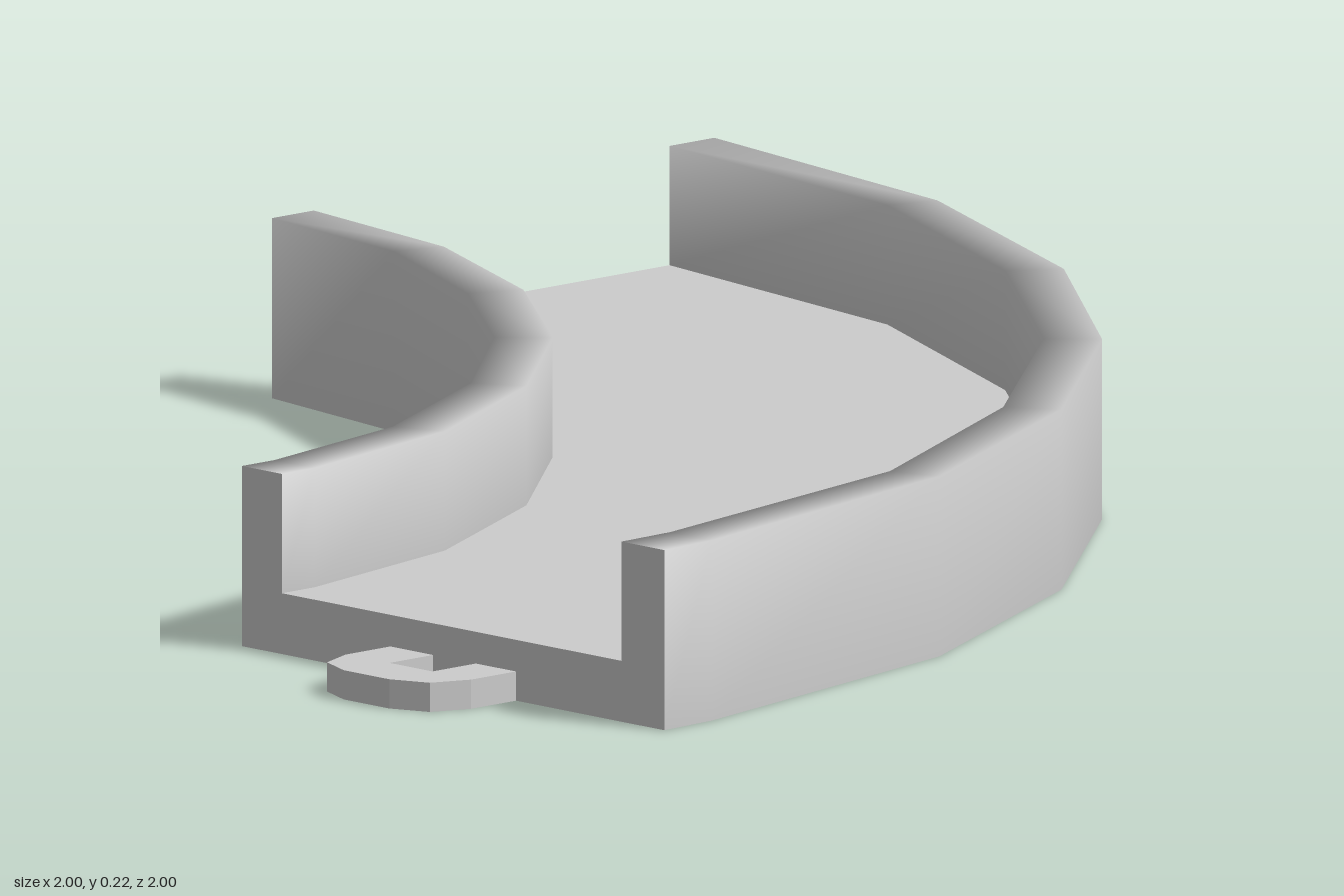
import * as THREE from 'three';

const H = 0.222, FLOOR = 0.075, END = -0.855;
const material = new THREE.MeshStandardMaterial({ color: 0xcccccc });

// Plan of each wall face, as [x, z] stations from the back end to the left end
const outerOut = [[1, END], [0.92, -0.38], [0.73, 0.04], [0.455, 0.395], [0.11, 0.685], [-0.29, 0.89], [-0.77, 0.995], [END, 1]];
const outerIn = [[0.925, END], [0.855, -0.4], [0.67, 0], [0.405, 0.345], [0.07, 0.625], [-0.31, 0.825], [-0.77, 0.922], [END, 0.925]];
const innerIn = [[0.33, END], [0.285, -0.58], [0.165, -0.315], [-0.02, -0.07], [-0.255, 0.13], [-0.525, 0.27], [-0.8, 0.33], [END, 0.33]];
const innerOut = [[0.26, END], [0.22, -0.6], [0.1, -0.345], [-0.07, -0.12], [-0.29, 0.07], [-0.55, 0.205], [-0.8, 0.26], [END, 0.26]];

// U-shaped cross-section: the plan line and height of each corner
const profile = [
  [outerOut, 0], [outerOut, H], [outerIn, H], [outerIn, FLOOR],
  [innerIn, FLOOR], [innerIn, H], [innerOut, H], [innerOut, 0],
];
const corner = (j, i) => {
  const [line, y] = profile[j];
  return [line[i][0], y, line[i][1]];
};

function addMesh(group, name, positions, index) {
  const geo = new THREE.BufferGeometry();
  geo.setAttribute('position', new THREE.Float32BufferAttribute(positions.flat(), 3));
  geo.setIndex(index);
  geo.computeVertexNormals();
  const mesh = new THREE.Mesh(geo, material);
  mesh.name = name;
  group.add(mesh);
}

// Sweep a run of profile corners along the bend, smooth within the run
function sweep(group, name, corners) {
  const n = corners.length, stations = outerOut.length;
  const positions = [], index = [];
  for (let i = 0; i < stations; i++) {
    for (const j of corners) positions.push(corner(j, i));
  }
  for (let i = 0; i < stations - 1; i++) {
    for (let k = 0; k < n - 1; k++) {
      const a = i * n + k, b = a + 1, c = a + n, d = c + 1;
      index.push(a, b, c, b, d, c);
    }
  }
  addMesh(group, name, positions, index);
}

// Flat U-shaped face closing one end
function endFace(group, name, station, reversed) {
  const positions = profile.map((_, j) => corner(j, station));
  const index = [];
  for (const [a, b, c, d] of [[0, 1, 2, 3], [0, 3, 4, 7], [4, 5, 6, 7]]) {
    index.push(...(reversed ? [a, c, b, a, d, c] : [a, b, c, a, c, d]));
  }
  addMesh(group, name, positions, index);
}

// Flat connector loop with a square opening against the track end
function connectorGeometry() {
  const shape = new THREE.Shape([
    [-0.11, 0], [-0.04, 0], [-0.04, 0.073], [0.035, 0.073], [0.035, 0], [0.11, 0],
    [0.11, 0.075], [0.09, 0.125], [0.04, 0.145], [-0.04, 0.145], [-0.09, 0.125], [-0.11, 0.075],
  ].map(([x, y]) => new THREE.Vector2(x, y)));
  const geo = new THREE.ExtrudeGeometry(shape, { depth: 0.036, bevelEnabled: false });
  return geo.rotateX(-Math.PI / 2);
}

export function createModel() {
  const group = new THREE.Group();
  group.name = 'curvedTrack';

  // Channel
  sweep(group, 'outerWall', [0, 1, 2, 3]);
  sweep(group, 'floor', [3, 4]);
  sweep(group, 'innerWall', [4, 5, 6, 7]);
  sweep(group, 'underside', [7, 0]);
  endFace(group, 'backEnd', 0, true);
  endFace(group, 'leftEnd', outerOut.length - 1, false);

  // Connectors
  const loop = connectorGeometry();
  const back = new THREE.Mesh(loop, material);
  back.name = 'backConnector';
  back.position.set(0.63, 0, END);
  const side = new THREE.Mesh(loop, material);
  side.name = 'sideConnector';
  side.position.set(END, 0, 0.63);
  side.rotation.y = Math.PI / 2;
  group.add(back, side);

  return group;
}
